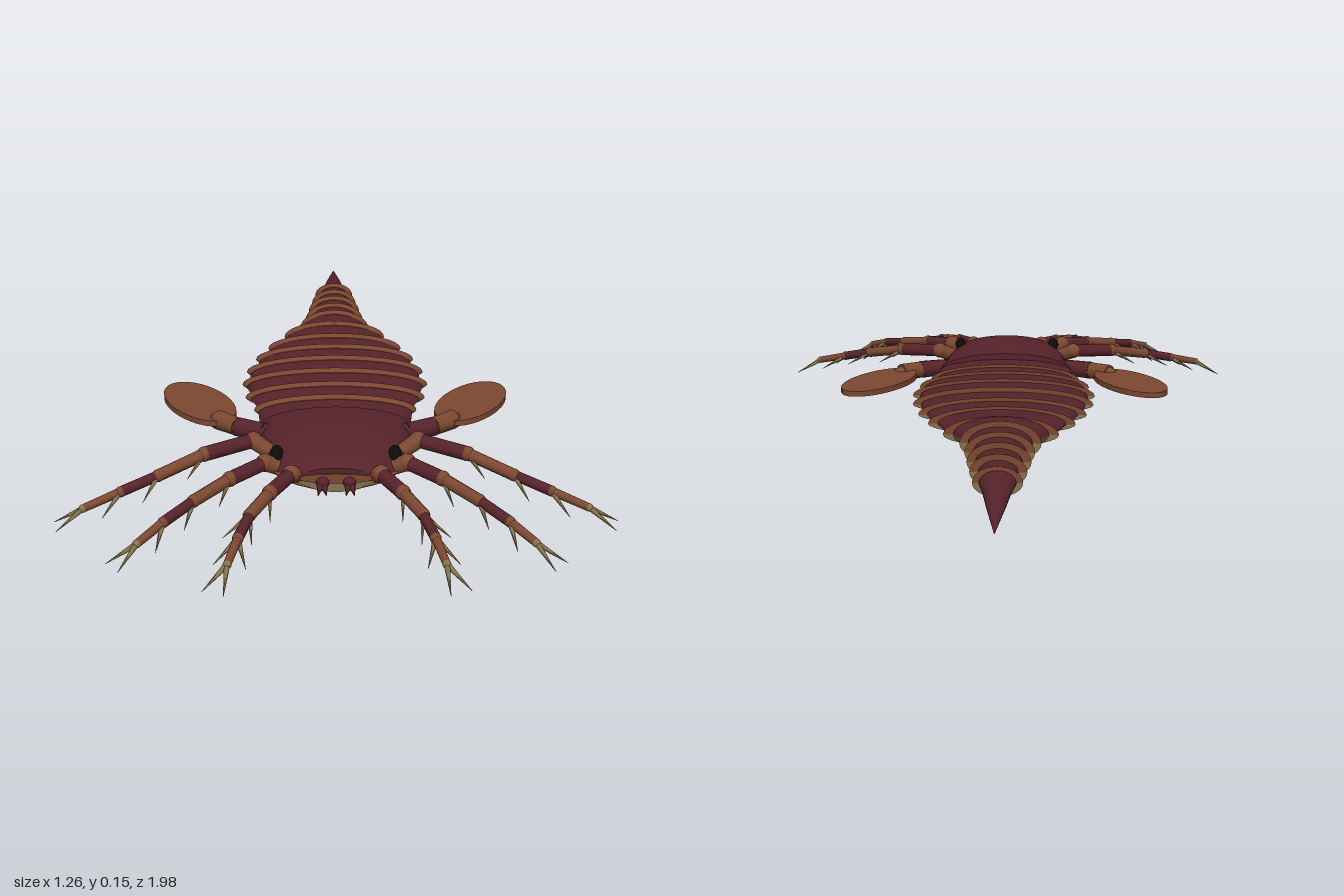
import * as THREE from 'three';
import { toCreasedNormals } from 'three/addons/utils/BufferGeometryUtils.js';

const paint = (name, color) => Object.assign(new THREE.MeshStandardMaterial({ color }), { name });

export function createModel() {
  const root = new THREE.Group();
  root.name = 'seaScorpion';
  const shell = paint('dark red shell', 0x56232a);
  const brown = paint('brown trim', 0x7c4831);
  const khaki = paint('khaki underside', 0x86734f);
  const black = paint('black eye', 0x0e0b0b);

  function add(name, geometry, material, parent = root) {
    const mesh = new THREE.Mesh(geometry, material);
    mesh.name = name;
    parent.add(mesh);
    return mesh;
  }

  // Half of a closed body: rings are [z, halfWidth, top, middle, bottom], front to back
  function halfLoft(rings, upper) {
    const first = rings[0], last = rings[rings.length - 1], n = 16;
    const cap = r => [r[0], 0, r[3], r[3], r[3]];
    const all = [cap(first), ...rings, cap(last)];
    const pos = [], idx = [];
    all.forEach(([z, w, top, mid, bottom]) => {
      for (let j = 0; j <= n; j++) {
        const a = Math.PI * (j / n + (upper ? 0 : 1));
        pos.push(w * Math.cos(a), mid + (upper ? top - mid : mid - bottom) * Math.sin(a), z);
      }
    });
    for (let i = 0; i < all.length - 1; i++) {
      for (let j = 0; j < n; j++) {
        const a = i * (n + 1) + j, b = a + n + 1;
        idx.push(a, b, a + 1, b, b + 1, a + 1);
      }
    }
    const g = new THREE.BufferGeometry();
    g.setAttribute('position', new THREE.Float32BufferAttribute(pos, 3));
    g.setIndex(idx);
    return toCreasedNormals(g, 0.6);
  }
  function body(name, rings, upperMat, lowerMat) {
    const group = new THREE.Group();
    group.name = name;
    add(name + 'Top', halfLoft(rings, true), upperMat, group);
    add(name + 'Bottom', halfLoft(rings, false), lowerMat, group);
    root.add(group);
  }

  // Head shield with a thin brown rim
  const outline = [[0.598, 0.08], [0.585, 0.12], [0.555, 0.145], [0.45, 0.163], [0.35, 0.178], [0.3, 0.18]];
  const tops = [0.148, 0.16, 0.17, 0.178, 0.178, 0.175];
  body('carapace', outline.map(([z, w], i) => [z, w, tops[i], 0.125, 0.09]), shell, khaki);
  body('carapaceRim', outline.map(([z, w]) => [z + 0.003, w + 0.005, 0.135, 0.125, 0.112]), brown, brown);

  // Abdomen and tail segments: [rear z, half width, top, bottom]
  const segments = [
    [0.21, 0.2, 0.168, 0.1], [0.127, 0.225, 0.17, 0.1], [0.037, 0.237, 0.172, 0.1],
    [-0.053, 0.23, 0.173, 0.1], [-0.148, 0.21, 0.17, 0.1], [-0.233, 0.18, 0.17, 0.1],
    [-0.328, 0.138, 0.172, 0.098], [-0.4, 0.096, 0.18, 0.08], [-0.476, 0.081, 0.176, 0.083],
    [-0.55, 0.073, 0.173, 0.087], [-0.624, 0.064, 0.168, 0.09], [-0.7, 0.055, 0.163, 0.094],
  ];
  let front = [0.305, 0.2];
  segments.forEach(([z, w, top, bottom]) => {
    const mid = 0.126;
    body('segment', [
      [front[0], front[1] - 0.02, top - 0.01, mid, bottom + 0.009],
      [z, w - 0.011, top - 0.006, mid, bottom + 0.005],
    ], shell, khaki);
    body('segmentBand', [
      [z + 0.011, w - 0.011, top - 0.005, mid, bottom + 0.005],
      [z - 0.009, w, top, mid, bottom],
    ], brown, khaki);
    front = [z, w];
  });

  // Tail spike
  body('tailSpike', [
    [-0.695, 0.043, 0.155, 0.126, 0.1], [-0.76, 0.032, 0.148, 0.125, 0.103],
    [-0.85, 0.021, 0.138, 0.121, 0.106], [-0.93, 0.01, 0.126, 0.117, 0.109],
    [-0.995, 0.001, 0.114, 0.113, 0.112],
  ], shell, shell);

  // Tapered rod between two points
  const up = new THREE.Vector3(0, 1, 0);
  function rod(name, a, b, ra, rb, material, parent, sides = 10) {
    const dir = b.clone().sub(a);
    const mesh = add(name, new THREE.CylinderGeometry(rb, ra, dir.length(), sides), material, parent);
    mesh.position.copy(a).add(b).multiplyScalar(0.5);
    mesh.quaternion.setFromUnitVectors(up, dir.normalize());
  }
  function ball(name, p, sx, sy, sz, material, parent) {
    const mesh = add(name, new THREE.SphereGeometry(1, 14, 10), material, parent);
    mesh.position.copy(p);
    mesh.scale.set(sx, sy, sz);
  }

  // Walking legs: hip to tip
  const legs = [
    [[0.04, 0.092, 0.46], [0.12, 0.115, 0.48], [0.19, 0.15, 0.445], [0.3, 0.14, 0.5],
      [0.4, 0.116, 0.565], [0.48, 0.095, 0.605], [0.56, 0.073, 0.645]],
    [[0.035, 0.092, 0.49], [0.1, 0.115, 0.54], [0.16, 0.145, 0.56], [0.235, 0.135, 0.625],
      [0.31, 0.117, 0.7], [0.37, 0.1, 0.77], [0.42, 0.08, 0.83]],
    [[0.025, 0.092, 0.52], [0.07, 0.11, 0.55], [0.1, 0.135, 0.6], [0.145, 0.127, 0.68],
      [0.185, 0.113, 0.76], [0.207, 0.097, 0.84], [0.225, 0.078, 0.92]],
  ];
  const radii = [0.02, 0.021, 0.02, 0.017, 0.014, 0.012, 0.009];

  for (const side of [1, -1]) {
    const label = side > 0 ? 'left' : 'right';
    const v = (x, y, z) => new THREE.Vector3(side * x, y, z);

    legs.forEach(points => {
      const leg = new THREE.Group();
      leg.name = label + 'WalkingLeg';
      root.add(leg);
      const p = points.map(q => v(...q));
      for (let i = 0; i < 6; i++) {
        rod('legSegment', p[i], p[i + 1], radii[i] * 0.85, radii[i + 1], i % 2 ? brown : shell, leg);
        const r = radii[i + 1] * 1.04;
        ball('legJoint', p[i + 1], r, r, r, i < 5 ? brown : khaki, leg);
        if (i < 2) continue;
        // Pair of spines slanting down at each joint
        const along = p[i + 1].clone().sub(p[i]).setY(0).normalize();
        for (const turn of i < 5 ? [0.55, -0.55] : [0.6, -0.15]) {
          const dir = along.clone().applyAxisAngle(up, side * turn).setY(-0.55).normalize();
          rod('legSpine', p[i + 1], p[i + 1].clone().addScaledVector(dir, 0.078),
            0.007, 0.0005, khaki, leg, 6);
        }
      }
    });

    // Swimming leg with its flat oval paddle
    const swim = new THREE.Group();
    swim.name = label + 'SwimmingLeg';
    root.add(swim);
    const s = [v(0.05, 0.095, 0.42), v(0.12, 0.115, 0.37), v(0.17, 0.127, 0.34),
      v(0.235, 0.127, 0.308), v(0.285, 0.128, 0.265)];
    [brown, shell, shell, brown].forEach((m, i) => {
      rod('swimSegment', s[i], s[i + 1], 0.022, 0.024, m, swim);
      ball('swimJoint', s[i + 1], 0.02, 0.018, 0.02, brown, swim);
    });
    const paddle = add('paddle', new THREE.CylinderGeometry(1, 1, 1, 32), brown, swim);
    paddle.scale.set(0.073, 0.014, 0.145);
    paddle.rotation.y = -side * 0.5;
    paddle.position.copy(v(0.336, 0.128, 0.162));

    // Eyes and small front pincers
    ball(label + 'Eye', v(0.134, 0.15, 0.525), 0.015, 0.018, 0.034, black, root);
    ball(label + 'PincerBase', v(0.03, 0.115, 0.6), 0.015, 0.014, 0.02, shell, root);
    rod(label + 'PincerFinger', v(0.028, 0.113, 0.605), v(0.022, 0.106, 0.65), 0.01, 0.001, shell, root, 8);
    rod(label + 'PincerThumb', v(0.034, 0.113, 0.605), v(0.04, 0.106, 0.65), 0.01, 0.001, shell, root, 8);
  }

  // Mouth plate under the head
  ball('mouthPlate', new THREE.Vector3(0, 0.093, 0.44), 0.04, 0.012, 0.09, khaki, root);
  return root;
}
